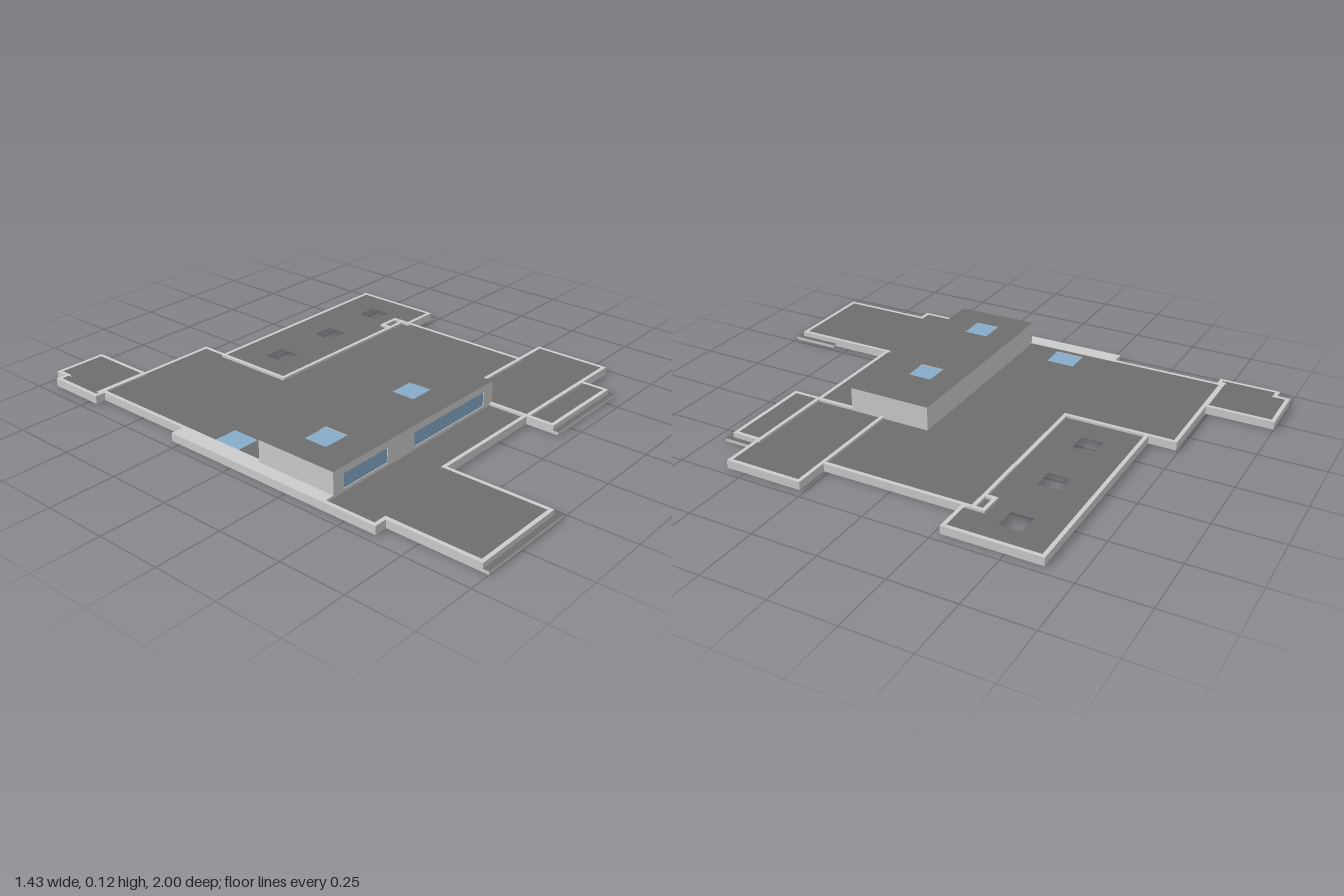
import * as THREE from 'three';

const light = new THREE.MeshStandardMaterial({ color: 0xd9d8d5 });
const dark = new THREE.MeshStandardMaterial({ color: 0x6e6e6e });
const glass = new THREE.MeshStandardMaterial({ color: 0x86abc9 });

const RIM = 0.015;       // parapet width, also the wall thickness
const DECK = 0.022;      // roof deck height
const TOP = 0.031;       // parapet height
const UPPER = 0.115;     // raised storey height

// Corners run clockwise as seen from above, x to the right and z down.
const rect = (x0, z0, x1, z1) => [[x0, z0], [x1, z0], [x1, z1], [x0, z1]];
const toVec = (pts) => pts.map(([x, z]) => new THREE.Vector2(x, -z));

// Moves every edge of a right-angled outline inward
function inset(pts, d) {
  const n = pts.length;
  return pts.map(([x, z], i) => {
    const [px, pz] = pts[(i + n - 1) % n];
    const [qx, qz] = pts[(i + 1) % n];
    const nx = -Math.sign(z - pz) - Math.sign(qz - z);
    const nz = Math.sign(x - px) + Math.sign(qx - x);
    return [x + nx * d, z + nz * d];
  });
}

// Horizontal plate between two heights, with separate cap and edge materials
function plate(name, pts, y0, y1, cap, edge, holes = []) {
  const shape = new THREE.Shape(toVec(pts));
  shape.holes = holes.map((h) => new THREE.Path(toVec(h)));
  const geo = new THREE.ExtrudeGeometry(shape, { depth: y1 - y0, bevelEnabled: false });
  geo.rotateX(-Math.PI / 2);
  geo.translate(0, y0, 0);
  const mesh = new THREE.Mesh(geo, [cap, edge]);
  mesh.name = name;
  return mesh;
}

// Roof deck with a parapet around it
function roofZone(name, pts, holes = []) {
  const zone = new THREE.Group();
  zone.name = name;
  zone.add(
    plate('deck', pts, 0, DECK, dark, light, holes),
    plate('parapet', pts, 0.005, TOP, light, light, [inset(pts, RIM)]),
  );
  return zone;
}

function createUpperStorey() {
  const g = new THREE.Group();
  g.name = 'upperStorey';
  const x0 = -0.665, x1 = 0.19, z0 = 0.085, z1 = 0.41;
  const roofY = UPPER - 0.01;

  // Back wall, end walls and the solid bay between the two rooms
  const walls = [
    ['backWall', rect(x0, z0, x1, z0 + RIM)],
    ['rightWall', rect(x0, z0 + RIM, x0 + RIM, z1 - RIM)],
    ['leftWall', rect(x1 - RIM, z0 + RIM, x1, z1 - RIM)],
    ['middleBay', rect(-0.39, z0 + RIM, -0.27, z1 - RIM)],
  ];
  for (const [name, pts] of walls) g.add(plate(name, pts, 0, roofY, dark, light));

  // Front wall with window openings
  const windows = [[-0.615, -0.4], [-0.26, 0.137]];
  const wy0 = 0.034, wy1 = 0.089;
  const upright = (a, b, c, d) => [[a, b], [c, b], [c, d], [a, d]].map(([x, y]) => new THREE.Vector2(x, y));
  const shape = new THREE.Shape(upright(x0, 0, x1, roofY));
  shape.holes = windows.map(([a, b]) => new THREE.Path(upright(a, wy0, b, wy1)));
  const front = new THREE.Mesh(new THREE.ExtrudeGeometry(shape, { depth: RIM, bevelEnabled: false }), light);
  front.position.z = z1 - RIM;
  front.name = 'frontWall';
  g.add(front);
  for (const [a, b] of windows) {
    const pane = new THREE.Mesh(new THREE.BoxGeometry(b - a, wy1 - wy0, 0.006), glass);
    pane.position.set((a + b) / 2, (wy0 + wy1) / 2, z1 - 0.006);
    pane.name = 'frontWindow';
    g.add(pane);
  }

  // Roof with two skylights
  const lights = [rect(-0.56, 0.19, -0.455, 0.285), rect(-0.11, 0.19, -0.01, 0.285)];
  g.add(plate('upperRoof', rect(x0, z0, x1, z1), roofY, UPPER, dark, light, lights));
  for (const s of lights) g.add(plate('skylight', s, roofY + 0.002, UPPER - 0.003, glass, glass));
  return g;
}

export function createModel() {
  const model = new THREE.Group();
  model.name = 'flatRoofBuilding';

  // Main roof with its skylight
  const mainLight = rect(-0.645, -0.155, -0.545, -0.04);
  model.add(roofZone('mainRoof', [
    [-0.665, -0.74], [-0.14, -0.74], [-0.14, -0.315], [0.575, -0.315],
    [0.575, 0.285], [0.175, 0.285], [0.175, 0.1], [-0.665, 0.1],
  ], [mainLight]));
  model.add(plate('mainSkylight', mainLight, 0.012, DECK - 0.002, glass, glass));

  // Canopy with three square openings
  const openings = [0.01, 0.29, 0.57].map((x) => rect(x - 0.042, -0.508, x + 0.042, -0.424));
  model.add(roofZone('canopy', [
    [-0.155, -0.635], [0.715, -0.635], [0.715, -0.27], [0.56, -0.27],
    [0.56, -0.34], [0.495, -0.34], [0.495, -0.3], [-0.155, -0.3],
  ], openings));
  model.add(roofZone('canopyBump', rect(0.48, -0.355, 0.575, -0.3)));

  // Small roof at the back
  model.add(roofZone('backRoof', [
    [-0.665, -1], [-0.455, -1], [-0.455, -0.73], [-0.665, -0.73],
    [-0.665, -0.715], [-0.705, -0.715], [-0.705, -0.95], [-0.665, -0.95],
  ]));

  // Front wing and left annex
  model.add(roofZone('frontWing', [
    [-0.715, 0.395], [0.19, 0.395], [0.19, 0.57], [-0.29, 0.57],
    [-0.29, 0.978], [-0.665, 0.978], [-0.665, 0.622], [-0.715, 0.622],
  ]));
  model.add(roofZone('annexRoof', rect(0.175, 0.27, 0.715, 0.575)));
  model.add(roofZone('porchRoof', rect(0.175, 0.56, 0.55, 0.68)));

  // Low ledges at the feet of the wing and the porch
  model.add(plate('wingLedge', rect(-0.665, 0.815, -0.27, 1), 0, 0.012, dark, light));
  model.add(plate('porchLedge', rect(0.175, 0.575, 0.57, 0.7), 0, 0.012, dark, light));

  // Plain side strip
  const strip = rect(-0.715, -0.29, -0.665, 0.41);
  model.add(plate('sideStripBase', strip, 0, 0.005, dark, light));
  model.add(plate('sideStrip', strip, 0.005, TOP, light, light));

  model.add(createUpperStorey());
  return model;
}
